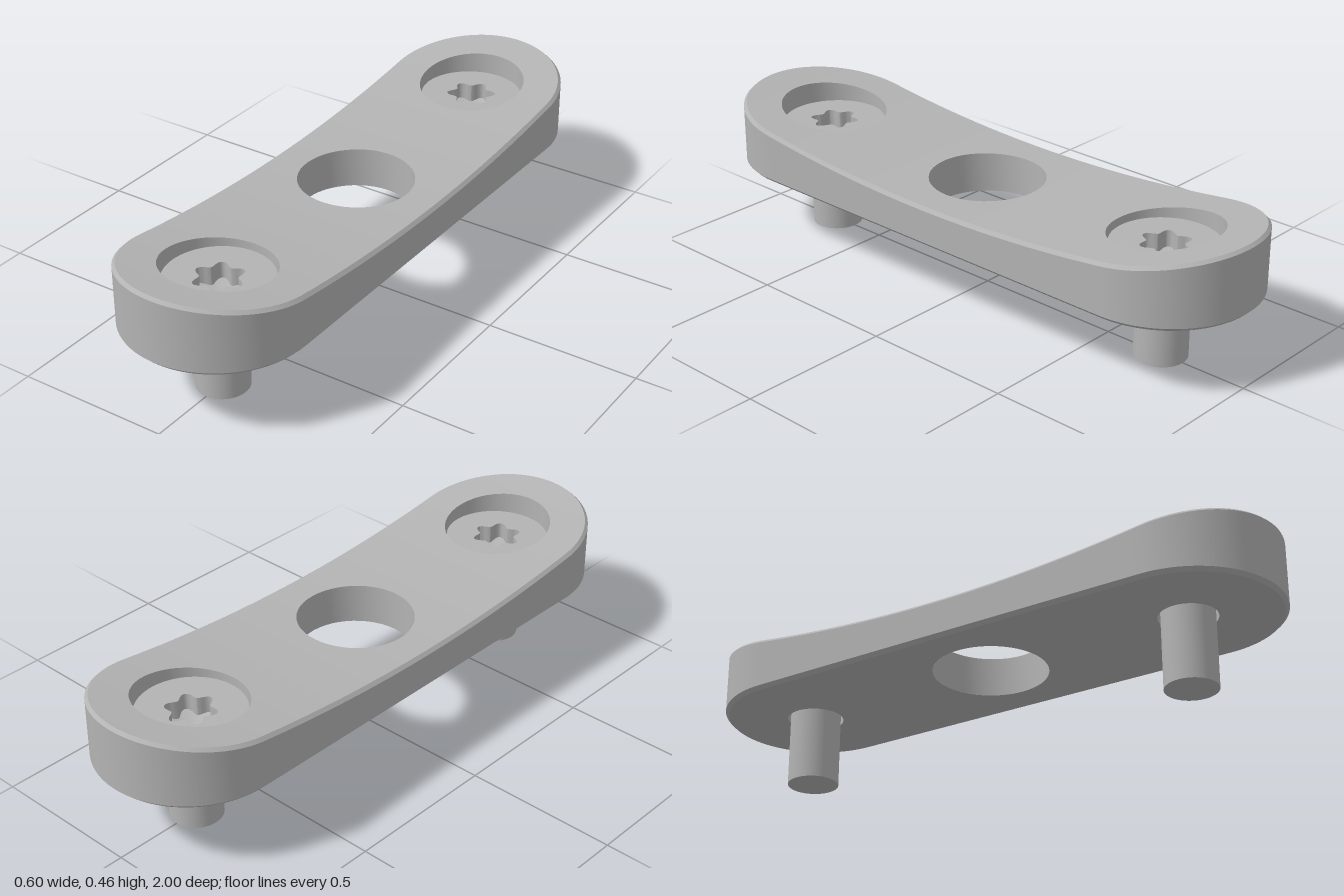
import * as THREE from 'three';
import { toCreasedNormals } from 'three/addons/utils/BufferGeometryUtils.js';

const BASE = 0.235, END = 0.7, BORE = 0.175, HOLE = 0.185, FLOOR = 0.29, HEAD_TOP = 0.37;
const INSET = 0.29, OUTER = 0.3, UNDER = 0.288;

// Height of the dished top along the length
const topY = z => 0.365 + 0.097 * z * z;

// Stations along the length, bunched where the round edges turn quickly
const keys = [-END - INSET, -END - BORE, -END + BORE, -HOLE, HOLE, END - BORE, END + BORE, END + INSET];
const stations = [keys[0]];
for (let k = 0; k < keys.length - 1; k++) {
  for (let i = 1; i <= 24; i++) {
    const t = (1 - Math.cos((Math.PI * i) / 24)) / 2;
    stations.push(i === 24 ? keys[k + 1] : keys[k] + (keys[k + 1] - keys[k]) * t);
  }
}

// Point on the right edge of a rounded bar of radius r
function edgePoint(station, r) {
  const past = Math.max(0, Math.abs(station) - END);
  if (past === 0) return [r, station];
  const s = Math.min(1, past / INSET);
  return [r * Math.sqrt(1 - s * s), Math.sign(station) * (END + r * s)];
}

const holeWidth = (z, c, r) => Math.sqrt(Math.max(0, r * r - (z - c) ** 2));
const innerWidth = z =>
  Math.max(holeWidth(z, 0, HOLE), holeWidth(z, END, BORE), holeWidth(z, -END, BORE));

// Closes a right-hand run of [x, z] points with its mirror image
const closeLoop = run => [...run, ...run.slice(0, -1).reverse().map(([x, z]) => [-x, z])];
const atHeight = (points, y) =>
  points.map(([x, z]) => new THREE.Vector3(x, typeof y === 'function' ? y(z) : y, z));

// Skin between two rows of points
function skin(out, a, b) {
  for (let i = 0; i < a.length - 1; i++) {
    for (const p of [a[i], a[i + 1], b[i], b[i], a[i + 1], b[i + 1]]) out.push(p.x, p.y, p.z);
  }
}

function plateGeometry() {
  const out = [];
  // Dished top, right and left halves
  const inner = stations.map(z => [innerWidth(z), z]);
  const outer = stations.map(z => edgePoint(z, INSET));
  const mirror = run => run.map(([x, z]) => [-x, z]);
  skin(out, atHeight(inner, topY), atHeight(outer, topY));
  skin(out, atHeight(mirror(outer), topY), atHeight(mirror(inner), topY));
  // Top chamfer, side wall and bottom chamfer
  const ring = (r, y) => atHeight(closeLoop(stations.map(z => edgePoint(z, r))), y);
  const rings = [ring(INSET, topY), ring(OUTER, z => topY(z) - 0.011), ring(OUTER, 0.247), ring(UNDER, BASE)];
  for (let i = 0; i < 3; i++) skin(out, rings[i], rings[i + 1]);
  // Walls of the centre hole and the two counterbores
  for (const [c, r, low] of [[0, HOLE, BASE], [END, BORE, FLOOR], [-END, BORE, FLOOR]]) {
    const run = stations.filter(z => Math.abs(z - c) <= r + 1e-6).map(z => [holeWidth(z, c, r), z]);
    const loop = closeLoop(run);
    skin(out, atHeight(loop, low), atHeight(loop, topY));
  }
  const geometry = new THREE.BufferGeometry();
  geometry.setAttribute('position', new THREE.Float32BufferAttribute(out, 3));
  return toCreasedNormals(geometry, 0.5);
}

// Flat underside with its three holes
function undersideGeometry() {
  const outline = closeLoop(stations.map(z => edgePoint(z, UNDER))).slice(0, -1);
  const shape = new THREE.Shape(outline.map(([x, z]) => new THREE.Vector2(x, z)));
  for (const [c, r] of [[0, HOLE], [END, 0.092], [-END, 0.092]]) {
    shape.holes.push(new THREE.Path().absarc(0, c, r, 0, Math.PI * 2, true));
  }
  return new THREE.ShapeGeometry(shape, 48).rotateX(Math.PI / 2).translate(0, BASE, 0);
}

// Round screw head with a six-lobed socket
function headGeometry() {
  const shape = new THREE.Shape().absarc(0, 0, 0.168, 0, Math.PI * 2, false);
  const star = [];
  for (let i = 0; i < 96; i++) {
    const a = (-i / 96) * Math.PI * 2;
    const r = 0.069 + 0.012 * Math.cos(6 * a);
    star.push(new THREE.Vector2(r * Math.cos(a), r * Math.sin(a)));
  }
  shape.holes.push(new THREE.Path(star));
  const depth = HEAD_TOP - FLOOR;
  const geometry = new THREE.ExtrudeGeometry(shape, { depth, bevelEnabled: false, curveSegments: 48 });
  return toCreasedNormals(geometry.rotateX(-Math.PI / 2).translate(0, FLOOR, 0), 0.6);
}

export function createModel() {
  const group = new THREE.Group();
  const metal = new THREE.MeshStandardMaterial({ color: 0xb3b3b3 });
  metal.name = 'grey metal';
  const metalOpen = metal;
  metalOpen.side = THREE.DoubleSide;

  const add = (parent, name, geometry) => {
    const mesh = new THREE.Mesh(geometry, metal);
    mesh.name = name;
    parent.add(mesh);
    return mesh;
  };

  add(group, 'plate', plateGeometry());
  add(group, 'plateUnderside', undersideGeometry());

  const head = headGeometry();
  // Shallow cone at the bottom of the socket
  const socketFloor = new THREE.LatheGeometry(
    [new THREE.Vector2(0, 0.293), new THREE.Vector2(0.085, 0.318)], 48);
  const shaft = new THREE.CylinderGeometry(0.083, 0.083, 0.292, 48).translate(0, 0.146, 0);
  // Clearance hole and seat beneath the head
  const seat = toCreasedNormals(new THREE.LatheGeometry(
    [[0.092, BASE], [0.092, FLOOR], [BORE, FLOOR]].map(p => new THREE.Vector2(...p)), 48), 0.5);

  for (const side of [1, -1]) {
    const screw = new THREE.Group();
    screw.name = side > 0 ? 'frontScrew' : 'backScrew';
    screw.position.z = side * END;
    add(screw, 'screwHead', head).rotation.y = side > 0 ? 0 : Math.PI / 6;
    add(screw, 'socketFloor', socketFloor);
    add(screw, 'screwShaft', shaft);
    add(screw, 'screwSeat', seat);
    group.add(screw);
  }
  return group;
}
